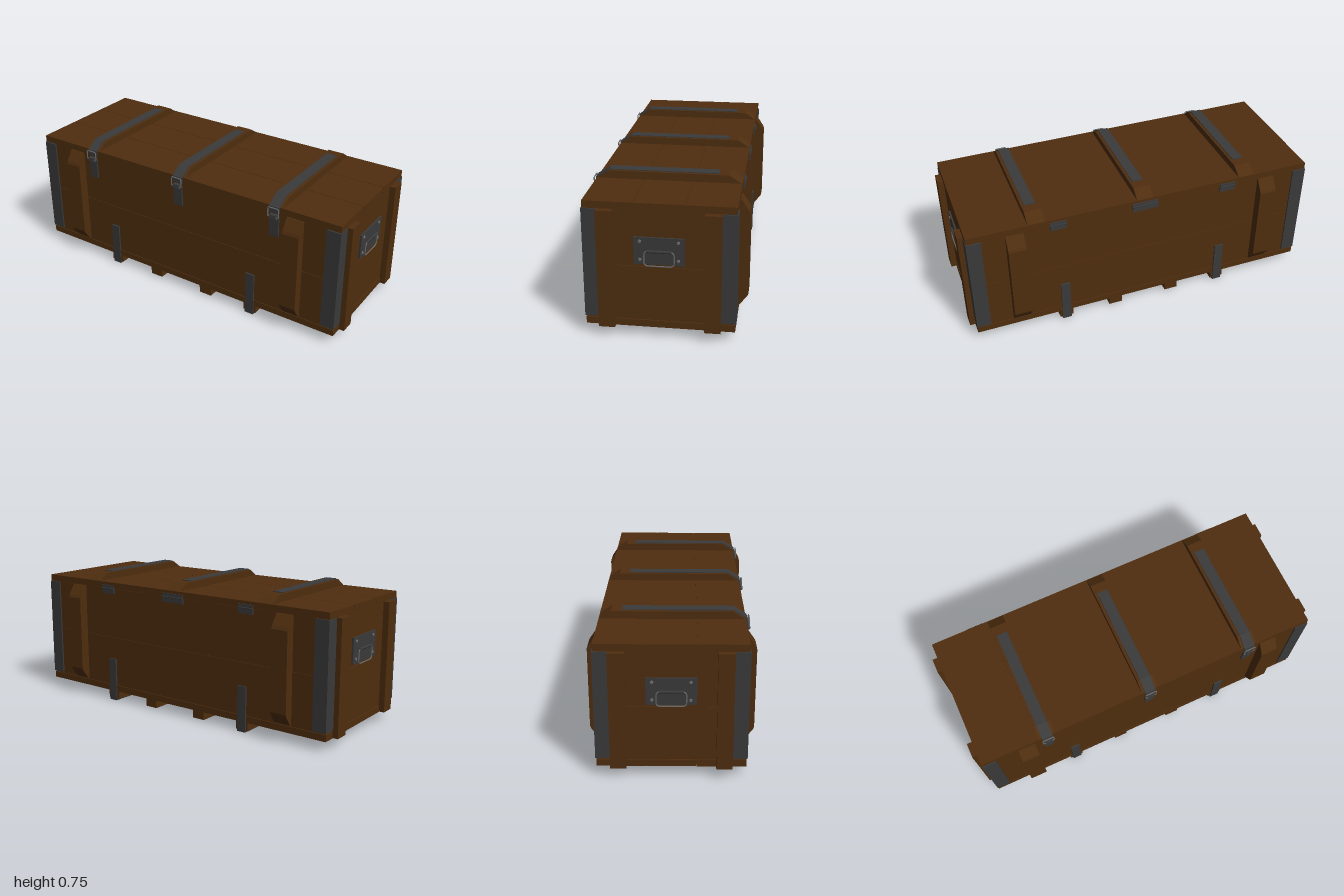
import * as THREE from 'three';

const wood = new THREE.MeshStandardMaterial({ color: 0x4f2e0f });
wood.name = 'brown wood';
const iron = new THREE.MeshStandardMaterial({ color: 0x3a3a3a });
iron.name = 'dark iron';
const steel = new THREE.MeshStandardMaterial({ color: 0x6c6c6c });
steel.name = 'grey steel';

// Box given by its minimum and maximum corners
function box(parent, name, mat, x0, x1, y0, y1, z0, z1) {
  const mesh = new THREE.Mesh(new THREE.BoxGeometry(x1 - x0, y1 - y0, z1 - z0), mat);
  mesh.position.set((x0 + x1) / 2, (y0 + y1) / 2, (z0 + z1) / 2);
  mesh.name = name;
  parent.add(mesh);
  return mesh;
}

// Outline in (z, y) extruded along x, centred on x
function slab(parent, name, mat, points, x, width) {
  const shape = new THREE.Shape(points.map(([z, y]) => new THREE.Vector2(-z, y)));
  const geo = new THREE.ExtrudeGeometry(shape, { depth: width, bevelEnabled: false });
  geo.translate(0, 0, -width / 2).rotateY(Math.PI / 2);
  const mesh = new THREE.Mesh(geo, mat);
  mesh.position.x = x;
  mesh.name = name;
  parent.add(mesh);
  return mesh;
}

// Closed wire loop with rounded corners, in the xy plane
function wireLoop(w, h, r, radius) {
  const path = new THREE.CurvePath();
  const corners = [[w, h], [-w, h], [-w, -h], [w, -h]];
  const pts = [];
  corners.forEach(([cx, cy], i) => {
    const ox = cx - Math.sign(cx) * r, oy = cy - Math.sign(cy) * r;
    for (let k = 0; k <= 4; k++) {
      const a = (i + k / 4) * Math.PI / 2;
      pts.push(new THREE.Vector3(ox + Math.cos(a) * r, oy + Math.sin(a) * r, 0));
    }
  });
  pts.forEach((p, i) => path.add(new THREE.LineCurve3(p, pts[(i + 1) % pts.length])));
  return new THREE.TubeGeometry(path, 80, radius, 6, true);
}

// Handle plate with bolts and a hanging bail, facing +z
function createHandle() {
  const g = new THREE.Group();
  g.name = 'endHandle';
  box(g, 'handlePlate', iron, -0.123, 0.123, 0.395, 0.535, 0, 0.009);
  for (const x of [-0.093, 0.093]) for (const y of [0.42, 0.514]) {
    const bolt = new THREE.Mesh(new THREE.CylinderGeometry(0.007, 0.009, 0.005, 10), steel);
    bolt.rotation.x = Math.PI / 2;
    bolt.position.set(x, y, 0.011);
    bolt.name = 'handleBolt';
    g.add(bolt);
  }
  const bail = new THREE.Mesh(wireLoop(0.073, 0.038, 0.018, 0.0035), steel);
  bail.position.set(0, 0.428, 0.015);
  bail.name = 'handleBail';
  g.add(bail);
  const pin = new THREE.Mesh(new THREE.CylinderGeometry(0.007, 0.007, 0.12, 10), iron);
  pin.rotation.z = Math.PI / 2;
  pin.position.set(0, 0.465, 0.013);
  pin.name = 'handleHinge';
  g.add(pin);
  return g;
}

// Latch below each lid strap
function createLatch() {
  const g = new THREE.Group();
  g.name = 'latch';
  box(g, 'latchPlate', iron, -0.027, 0.027, 0.535, 0.65, 0.36, 0.375);
  slab(g, 'latchHook', iron, [[0.37, 0.63], [0.37, 0.665], [0.392, 0.665], [0.394, 0.645]], 0, 0.04);
  const loop = new THREE.Mesh(wireLoop(0.031, 0.026, 0.008, 0.0035), steel);
  loop.position.set(0, 0.677, 0.386);
  loop.name = 'latchLoop';
  g.add(loop);
  return g;
}

export function createModel() {
  const model = new THREE.Group();
  model.name = 'crate';
  const gap = 0.0012;

  // Solid core just behind the plank seams
  box(model, 'core', wood, -0.962, 0.962, 0.06, 0.7, -0.362, 0.362);

  // Wall planks, two courses around
  for (const [y0, y1] of [[0.09 + gap, 0.38 - gap], [0.38 + gap, 0.67 - gap]]) {
    box(model, 'wallPlank', wood, -0.966, 0.966, y0, y1, -0.366, 0.366);
  }

  // Lid and floor planks
  for (const [z0, z1] of [[-0.37, -0.123], [-0.123, 0.123], [0.123, 0.37]]) {
    box(model, 'lidPlank', wood, -0.97, 0.97, 0.67, 0.706, z0 + gap, z1 - gap);
    box(model, 'floorPlank', wood, -0.97, 0.97, 0.054, 0.09, z0 + gap, z1 - gap);
  }

  // Lid battens, iron straps and latches
  for (const x of [-0.6, 0, 0.6]) {
    slab(model, 'lidBatten', wood,
      [[0.368, 0.704], [0.305, 0.746], [-0.305, 0.746], [-0.368, 0.704]], x, 0.092);
    slab(model, 'lidStrap', iron, [
      [-0.25, 0.74], [-0.25, 0.75], [0.307, 0.75], [0.376, 0.706], [0.378, 0.672],
      [0.368, 0.672], [0.368, 0.7], [0.3, 0.74]], x, 0.06);
    const latch = createLatch();
    latch.position.x = x;
    model.add(latch);
  }

  // Hinges along the back
  for (const [x, w] of [[-0.485, 0.045], [0, 0.073], [0.485, 0.045]]) {
    box(model, 'hingePlate', iron, x - w, x + w, 0.64, 0.69, -0.374, -0.36);
    const barrel = new THREE.Mesh(new THREE.CylinderGeometry(0.004, 0.004, 2 * w, 8), iron);
    barrel.rotation.z = Math.PI / 2;
    barrel.position.set(x, 0.67, -0.374);
    barrel.name = 'hingeBarrel';
    model.add(barrel);
  }

  // Floor skids, the outer pair wrapped in iron straps
  for (const x of [-0.465, -0.172, 0.172, 0.465]) {
    box(model, 'skid', wood, x - 0.038, x + 0.038, 0.01, 0.054, -0.368, 0.368);
    if (Math.abs(x) < 0.4) continue;
    slab(model, 'skidStrap', iron, [
      [-0.375, 0], [0.375, 0], [0.375, 0.252], [0.366, 0.252], [0.366, 0.009],
      [-0.366, 0.009], [-0.366, 0.252], [-0.375, 0.252]], x, 0.052);
  }

  for (const s of [-1, 1]) {
    // Chamfered uprights on the long sides
    for (const x of [-0.72, 0.72]) {
      slab(model, 'sideBatten', wood, [
        [0.36 * s, 0.098], [0.374 * s, 0.098], [0.413 * s, 0.15], [0.419 * s, 0.165],
        [0.419 * s, 0.595], [0.413 * s, 0.61], [0.374 * s, 0.668], [0.36 * s, 0.668]], x, 0.095);
    }
    // End uprights and corner irons
    for (const t of [-1, 1]) {
      const zs = [0.22 * t, 0.3 * t].sort((a, b) => a - b);
      const xs = [0.96 * s, 1.0 * s].sort((a, b) => a - b);
      box(model, 'endBatten', wood, xs[0], xs[1], 0.056, 0.669, zs[0], zs[1]);
      box(model, 'cornerIronSide', iron, 0.933 * s - 0.039, 0.933 * s + 0.039,
        0.098, 0.668, 0.368 * t - 0.006, 0.368 * t + 0.006);
      box(model, 'cornerIronEnd', iron, 0.966 * s - 0.006, 0.966 * s + 0.006,
        0.098, 0.668, 0.337 * t - 0.037, 0.337 * t + 0.037);
    }
    const handle = createHandle();
    handle.rotation.y = s * Math.PI / 2;
    handle.position.x = s * 0.966;
    model.add(handle);
  }
  return model;
}
